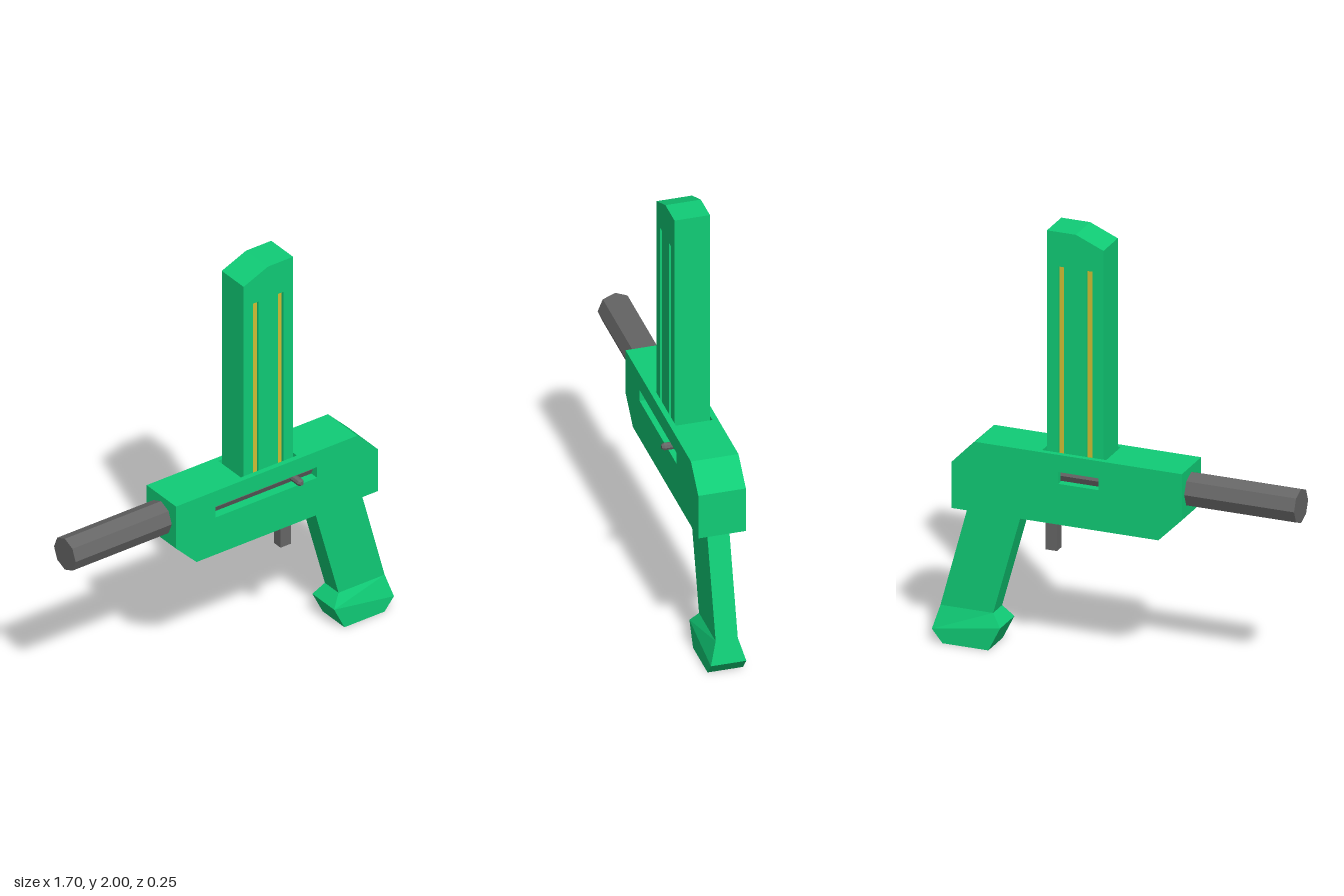
import * as THREE from 'three';

const MID_Z = -0.0175;

export function createModel() {
  const model = new THREE.Group();
  model.name = 'toyBlaster';

  const green = new THREE.MeshStandardMaterial({ color: 0x10cc76 });
  green.name = 'green';
  const grey = new THREE.MeshStandardMaterial({ color: 0x666666 });
  grey.name = 'grey';
  const brass = new THREE.MeshStandardMaterial({ color: 0xd0c034 });
  brass.name = 'brass';

  // adds a mesh with hard-edged facets
  function add(name, geometry, material, parent = model) {
    const flat = geometry.index ? geometry.toNonIndexed() : geometry;
    flat.computeVertexNormals();
    const mesh = new THREE.Mesh(flat, material);
    mesh.name = name;
    parent.add(mesh);
    return mesh;
  }

  const toPoints = (list) => list.map(([x, y]) => new THREE.Vector2(x, y));
  const rect = (x0, x1, y0, y1) => [[x0, y0], [x1, y0], [x1, y1], [x0, y1]];

  // extrudes a side profile, with holes, between two depths
  function plate(profile, z0, z1, holes = []) {
    const shape = new THREE.Shape(toPoints(profile));
    for (const hole of holes) shape.holes.push(new THREE.Path(toPoints(hole)));
    return new THREE.ExtrudeGeometry(shape, { depth: z1 - z0, bevelEnabled: false }).translate(0, 0, z0);
  }

  // receiver: two slotted side plates around a core with the magazine well
  const receiver = new THREE.Group();
  receiver.name = 'receiver';
  model.add(receiver);
  const lower = [[-0.34, 0.975], [-0.34, 0.76], [-0.23, 0.65], [0.74, 0.65], [0.74, 0.865], [0.63, 0.975]];
  const well = [
    [0.325, 0.975], [0.325, 0.895], [0.415, 0.895], [0.415, 0.84],
    [-0.13, 0.84], [-0.13, 0.895], [0.025, 0.895], [0.025, 0.975],
  ];
  add('receiverFront', plate(lower, 0.065, 0.09, [rect(-0.13, 0.415, 0.84, 0.895)]), green, receiver);
  add('receiverCore', plate([...lower, ...well], -0.1, 0.065), green, receiver);
  add('receiverBack', plate(lower, -0.125, -0.1, [rect(0.05, 0.24, 0.84, 0.895)]), green, receiver);

  // octagonal barrel, running back through the receiver as the bolt
  const barrel = new THREE.CylinderGeometry(0.079, 0.079, 1.355, 8);
  barrel.rotateZ(Math.PI / 2).translate(-0.1775, 0.868, -0.02);
  add('barrelAndBolt', barrel, grey);

  // bolt handle with a chamfered tip
  const handle = new THREE.LatheGeometry(toPoints([[0.017, 0.03], [0.017, 0.115], [0.01, 0.125], [0, 0.125]]), 8);
  handle.rotateX(Math.PI / 2).translate(0.308, 0.868, 0);
  add('boltHandle', handle, grey);

  // magazine with two long windows showing recessed brass
  const magazine = new THREE.Group();
  magazine.name = 'magazine';
  model.add(magazine);
  const windows = [[0.091, 0.121], [0.225, 0.253]];
  const outline = [[0.04, 0.93], [0.305, 0.93], [0.305, 2], [0.17, 2], [0.04, 1.945]];
  add('magazineBody', plate(outline, -0.095, 0.065, windows.map(([a, b]) => rect(a, b, 0.96, 1.84))), green, magazine);
  for (const [a, b] of windows) {
    add('ammunitionStrip', plate(rect(a, b, 0.96, 1.84), -0.081, 0.051), brass, magazine);
  }

  // trigger
  add('trigger', new THREE.BoxGeometry(0.055, 0.18, 0.05).translate(0.3075, 0.58, MID_Z), grey);

  // raked grip with a flared foot: [back x, back y, front x, front y, half depth]
  const sections = [
    [0.58, 0, 0.795, 0, 0.08],
    [0.525, 0.11, 0.845, 0.06, 0.08],
    [0.57, 0.165, 0.817, 0.165, 0.05],
    [0.435, 0.655, 0.685, 0.655, 0.05],
  ];
  const positions = [];
  const indices = [];
  for (const [x0, y0, x1, y1, d] of sections) {
    positions.push(x0, y0, -0.015 + d, x1, y1, -0.015 + d, x1, y1, -0.015 - d, x0, y0, -0.015 - d);
  }
  for (let s = 0; s < sections.length - 1; s++) {
    for (let i = 0; i < 4; i++) {
      const a = s * 4 + i;
      const b = s * 4 + ((i + 1) % 4);
      indices.push(a, b, b + 4, a, b + 4, a + 4);
    }
  }
  const top = (sections.length - 1) * 4;
  indices.push(0, 2, 1, 0, 3, 2, top, top + 1, top + 2, top, top + 2, top + 3);
  const grip = new THREE.BufferGeometry();
  grip.setAttribute('position', new THREE.Float32BufferAttribute(positions, 3));
  grip.setIndex(indices);
  add('grip', grip, green);

  return model;
}
